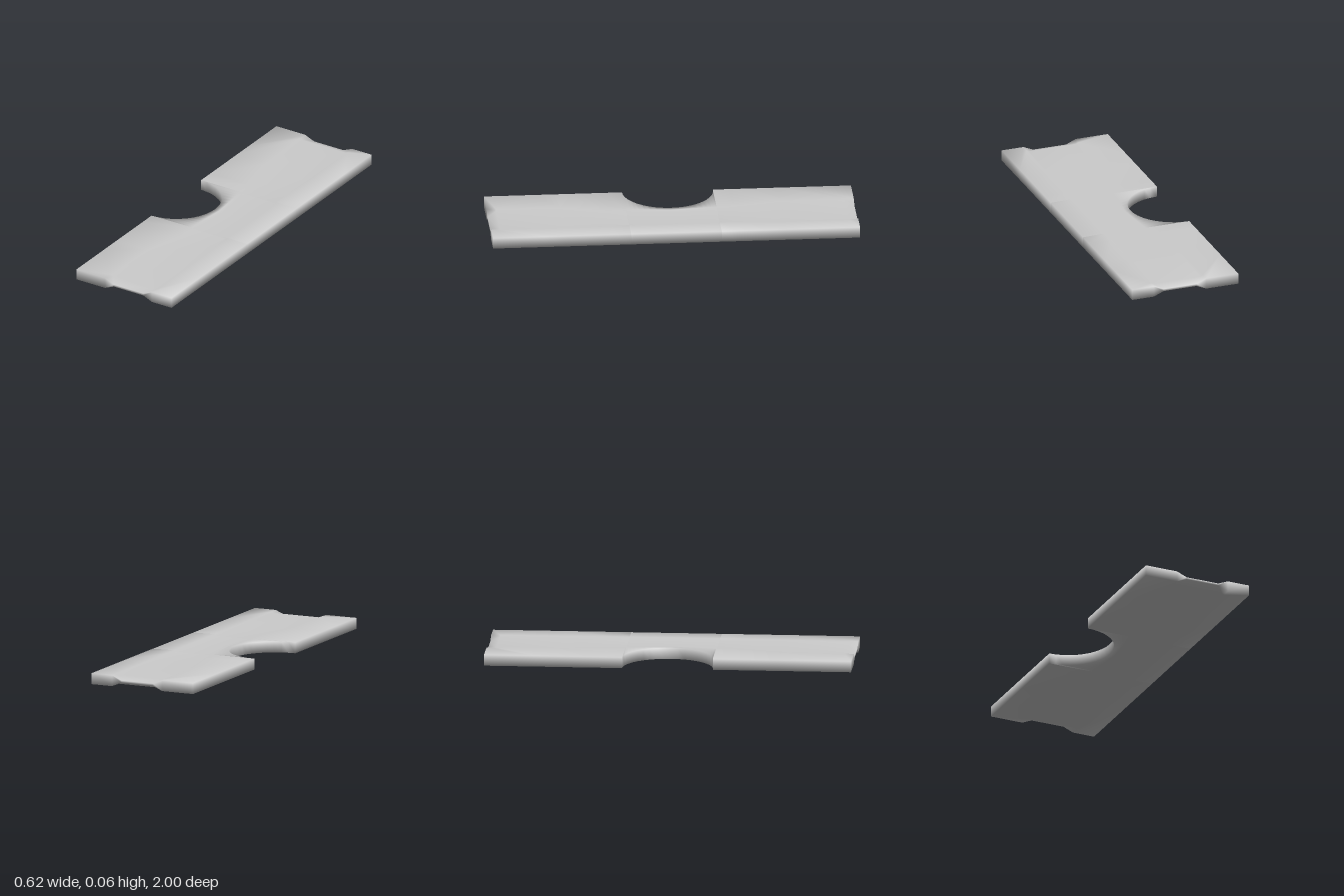
import * as THREE from 'three';

const MID = 0.0325;      // mid height of the plate
const PAD = 0.03;        // half thickness of the raised sides
const FLOOR = 0.024;     // half thickness of the shallow channel
const RIDGE = 0.0325;    // half thickness of the ridge by the channel
const NOTCH = 0.248;     // radius of the round cut-out

// One cross-section: six columns [x, half thickness, z], left to right
function section(z, left, edge, floorL, floorR, floorT, ridge, outerZ = z) {
  return [
    [left, PAD, outerZ], [edge, PAD, z], [floorL, floorT, z],
    [floorR, floorT, z], [0.182, ridge, z], [0.308, PAD, outerZ],
  ];
}

// Sections of the front half, from the end towards the middle
function halfSections() {
  const list = [
    section(1, -0.308, -0.122, -0.065, 0.125, 0.006, PAD),
    section(0.95, -0.308, -0.118, -0.105, 0.17, FLOOR, PAD, 0.72),
    section(0.6, -0.308, -0.11, -0.095, 0.168, FLOOR, PAD),
    section(0.34, -0.308, -0.06, -0.045, 0.166, FLOOR, RIDGE),
  ];
  // Stations following the round cut-out
  const steps = 10;
  for (let i = 0; i <= steps; i++) {
    const t = (Math.PI / 2) * (1 - i / steps);
    const z = NOTCH * Math.sin(t);
    const edge = -0.03 - 0.088 * z;
    list.push(section(z, -0.308 + NOTCH * Math.cos(t), edge, edge + 0.015, 0.166, FLOOR, RIDGE));
  }
  return list;
}

// Closed smooth skin over the sections, with capped ends
function plateGeometry() {
  const front = halfSections();
  const back = front.map((s) => s.map(([x, h, z]) => [x, h, -z]));
  const sections = [...back, ...front.slice(0, -1).reverse()];
  const n = 6, ring = n * 2;
  const positions = [], index = [];
  for (const s of sections) {
    for (const [x, h, z] of s) positions.push(x, MID + h, z);
    for (const [x, h, z] of [...s].reverse()) positions.push(x, MID - h, z);
  }
  for (let j = 0; j < sections.length - 1; j++) {
    for (let k = 0; k < ring; k++) {
      const a = j * ring + k, b = j * ring + ((k + 1) % ring);
      const c = a + ring, d = b + ring;
      index.push(a, c, b, b, c, d);
    }
  }
  const last = (sections.length - 1) * ring;
  for (let i = 0; i < n - 1; i++) {
    const t0 = i, t1 = i + 1, b0 = ring - 1 - i, b1 = ring - 2 - i;
    index.push(t0, t1, b0, t1, b1, b0);
    index.push(last + t0, last + b0, last + t1, last + t1, last + b0, last + b1);
  }
  const geometry = new THREE.BufferGeometry();
  geometry.setAttribute('position', new THREE.Float32BufferAttribute(positions, 3));
  geometry.setIndex(index);
  geometry.computeVertexNormals();
  return geometry;
}

export function createModel() {
  const group = new THREE.Group();
  group.name = 'notchedPlate';
  const plate = new THREE.Mesh(
    plateGeometry(),
    new THREE.MeshStandardMaterial({ color: 0xcccccc })
  );
  plate.name = 'plate';
  group.add(plate);
  return group;
}
